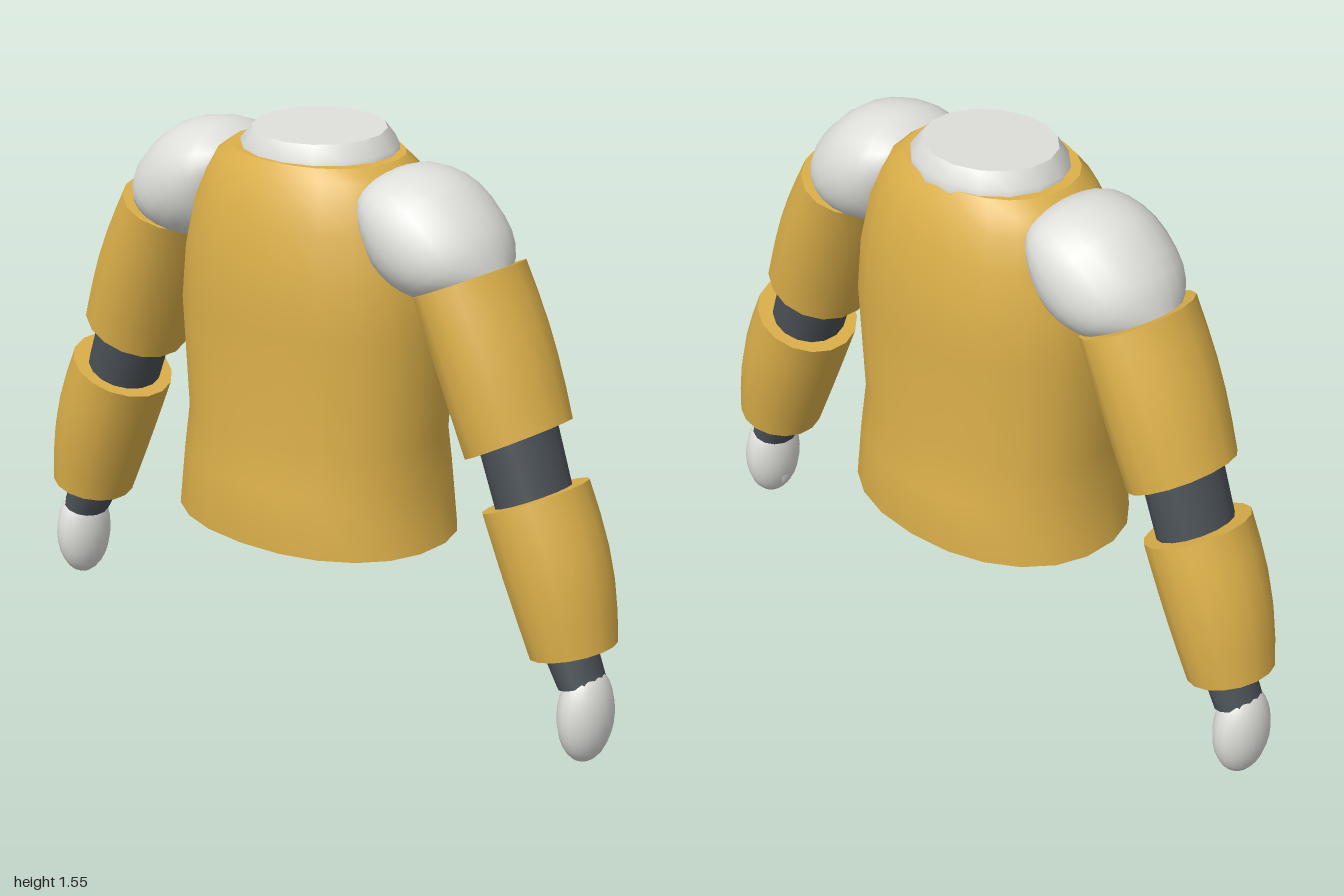
import * as THREE from 'three';

// Loft through rings { outer, inner, depth }, with sharp flat end caps.
// power < 1 makes the section squarer than an ellipse.
function loft(rings, sides, power = 1) {
  const pos = [], index = [];
  const soft = (v) => Math.sign(v) * Math.pow(Math.abs(v), power);
  const addRing = ({ outer, inner, depth }) => {
    const start = pos.length / 3;
    for (let j = 0; j < sides; j++) {
      const a = ((j + 0.5) / sides) * Math.PI * 2;
      const p = inner.clone().lerp(outer, (1 + soft(Math.cos(a))) / 2);
      pos.push(p.x, p.y, depth * soft(Math.sin(a)));
    }
    return start;
  };
  const starts = rings.map(addRing);
  for (let i = 0; i < starts.length - 1; i++) {
    for (let j = 0; j < sides; j++) {
      const k = (j + 1) % sides;
      const a = starts[i] + j, b = starts[i] + k, c = starts[i + 1] + j, d = starts[i + 1] + k;
      index.push(a, b, c, b, d, c);
    }
  }
  for (const top of [true, false]) {
    const ring = top ? rings[0] : rings[rings.length - 1];
    const s = addRing(ring);
    const centre = pos.length / 3;
    const mid = ring.outer.clone().lerp(ring.inner, 0.5);
    pos.push(mid.x, mid.y, 0);
    for (let j = 0; j < sides; j++) {
      const k = (j + 1) % sides;
      if (top) index.push(centre, s + k, s + j);
      else index.push(centre, s + j, s + k);
    }
  }
  const geo = new THREE.BufferGeometry();
  geo.setAttribute('position', new THREE.Float32BufferAttribute(pos, 3));
  geo.setIndex(index);
  geo.computeVertexNormals();
  return geo;
}

const v2 = (x, y) => new THREE.Vector2(x, y);

// Level rings from [half width, height, half depth]
const level = (list) => list.map(([w, y, depth]) => ({ outer: v2(w, y), inner: v2(-w, y), depth }));

// Tapered tube between two slanted cuts, its outer side bulging midway
function limb(topOuter, topInner, endOuter, endInner, depths, bulge) {
  return Array.from({ length: 6 }, (_, i) => {
    const t = i / 5, swell = Math.sin(Math.PI * t);
    const outer = topOuter.clone().lerp(endOuter, t);
    outer.x += bulge * swell;
    const inner = topInner.clone().lerp(endInner, t);
    return { outer, inner, depth: THREE.MathUtils.lerp(depths[0], depths[1], t) + bulge * 0.4 * swell };
  });
}

// Rounded shoulder between an upper and a lower outline
function shoulderRings() {
  const upper = new THREE.SplineCurve([v2(0.23, 1.45), v2(0.33, 1.5), v2(0.47, 1.475), v2(0.585, 1.37), v2(0.625, 1.27)]);
  const lower = new THREE.SplineCurve([v2(0.22, 1.39), v2(0.29, 1.21), v2(0.42, 1.16)]);
  return Array.from({ length: 13 }, (_, i) => {
    const t = i / 12;
    const depth = 0.195 * Math.sqrt(1 - ((t - 0.55) / 0.57) ** 2);
    return { outer: upper.getPoint(t), inner: lower.getPoint(t), depth };
  });
}

// Mirrored rings swap inner and outer so the faces keep pointing outwards.
const mirror = (rings) => rings.map(({ outer, inner, depth }) => (
  { outer: v2(-inner.x, inner.y), inner: v2(-outer.x, outer.y), depth }));

export function createModel() {
  const mat = (name, color) => {
    const m = new THREE.MeshStandardMaterial({ color });
    m.name = name;
    return m;
  };
  const gold = mat('gold', 0xdcb04a);
  const white = mat('offWhite', 0xdededa);
  const dark = mat('darkGrey', 0x4a5056);

  const model = new THREE.Group();
  model.name = 'upperBody';
  const add = (parent, name, geo, material) => {
    const mesh = new THREE.Mesh(geo, material);
    mesh.name = name;
    parent.add(mesh);
    return mesh;
  };

  // Torso with a flared hem
  add(model, 'torso', loft(level([
    [0.25, 1.487, 0.197], [0.295, 1.455, 0.217], [0.325, 1.41, 0.24], [0.36, 1.33, 0.266],
    [0.39, 1.2, 0.286], [0.406, 1.05, 0.291], [0.388, 0.74, 0.281],
    [0.385, 0.62, 0.315], [0.415, 0.45, 0.311],
  ]), 22, 0.92), gold);

  // Neck collar, tipped slightly forward
  const collar = add(model, 'collar', loft(level([
    [0.186, 0.05, 0.172], [0.222, 0.01, 0.196], [0.222, -0.02, 0.196],
  ]), 16), white);
  collar.position.set(0, 1.49, -0.008);
  collar.rotation.x = 0.03;

  // Arms, shoulder to wrist, then an egg-shaped hand
  const upperArm = limb(v2(0.643, 1.29), v2(0.4, 1.175), v2(0.818, 0.905), v2(0.565, 0.768), [0.175, 0.158], 0.015);
  const elbow = limb(v2(0.78, 0.9), v2(0.585, 0.83), v2(0.85, 0.69), v2(0.665, 0.62), [0.115, 0.112], 0);
  const forearm = limb(v2(0.882, 0.755), v2(0.62, 0.635), v2(0.998, 0.335), v2(0.775, 0.275), [0.15, 0.122], 0.025);
  const wrist = limb(v2(0.93, 0.36), v2(0.79, 0.31), v2(0.975, 0.235), v2(0.86, 0.2), [0.072, 0.072], 0);
  for (const side of ['left', 'right']) {
    const arm = new THREE.Group();
    arm.name = side + 'Arm';
    model.add(arm);
    const place = (name, rings, sides, material) =>
      add(arm, name, loft(side === 'left' ? rings : mirror(rings), sides), material);
    place('shoulder', shoulderRings(), 24, white);
    place('upperArm', upperArm, 16, gold);
    place('elbow', elbow, 16, dark);
    place('forearm', forearm, 16, gold);
    place('wrist', wrist, 14, dark);
    const hand = add(arm, 'hand', new THREE.SphereGeometry(1, 18, 14), white);
    hand.scale.set(0.067, 0.135, 0.09);
    hand.position.set(side === 'left' ? 0.933 : -0.933, 0.135, 0);
  }

  // Small thumb tip on the left hand
  const thumb = add(model, 'leftThumb', new THREE.SphereGeometry(1, 10, 8), white);
  thumb.scale.set(0.018, 0.05, 0.025);
  thumb.position.set(0.89, 0.085, 0);
  return model;
}
